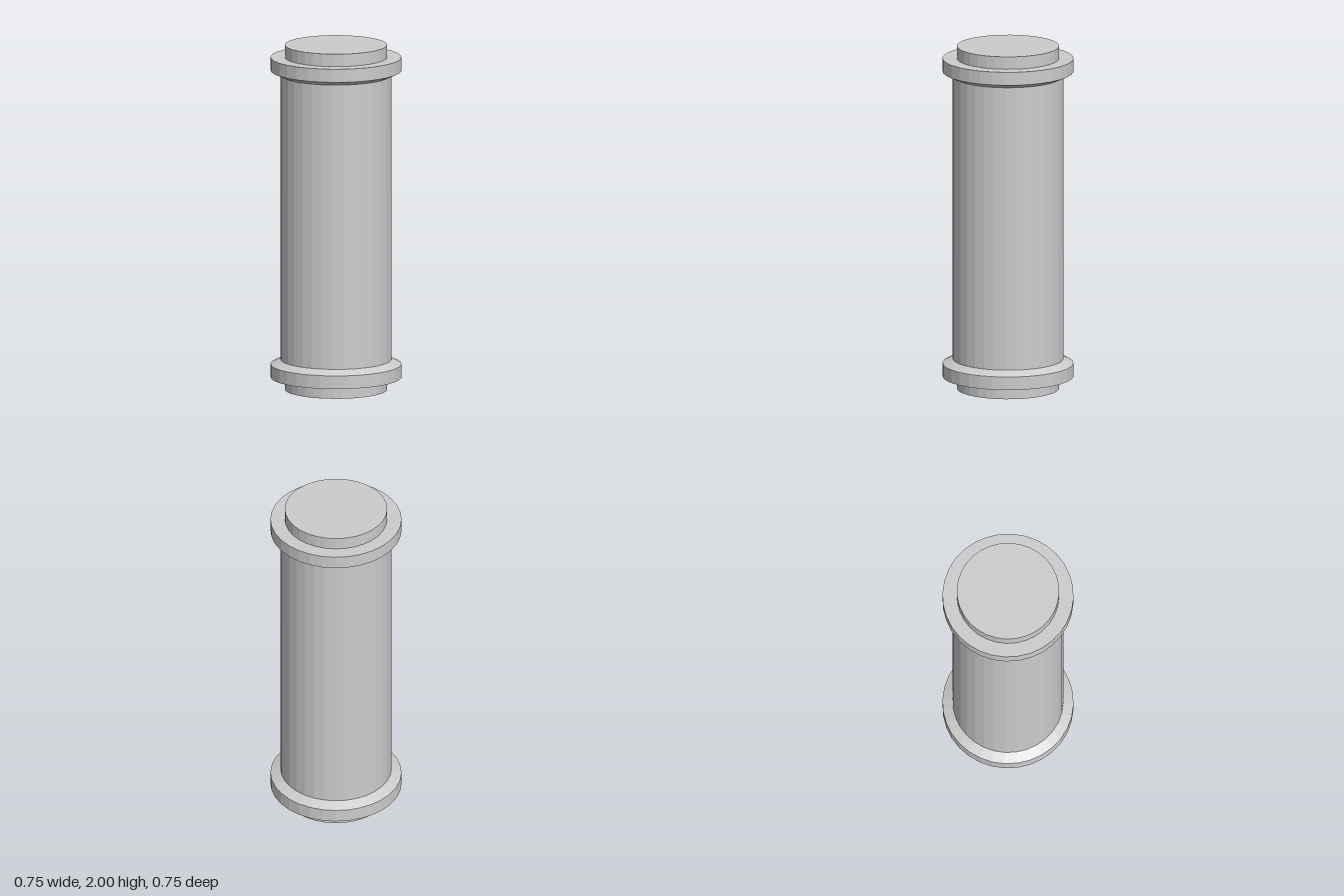
import * as THREE from 'three';

const SIDES = 32;
const BODY_R = 0.316, COLLAR_R = 0.374, CAP_R = 0.292;
const CAP_H = 0.072, RIM_Y = 0.148, BODY_Y = 0.175;

export function createModel() {
  const model = new THREE.Group();
  model.name = 'column';
  const grey = new THREE.MeshStandardMaterial({ color: 0xcccccc, flatShading: true });
  grey.name = 'light grey';

  // Faceted turned part from [radius, height] pairs, listed bottom to top
  const turned = (name, profile) => {
    const points = profile.map(([r, y]) => new THREE.Vector2(r, y));
    const mesh = new THREE.Mesh(new THREE.LatheGeometry(points, SIDES), grey);
    mesh.name = name;
    return mesh;
  };

  // Long straight shaft
  model.add(turned('shaft', [[BODY_R, BODY_Y], [BODY_R, 2 - BODY_Y]]));

  // Matching ends: a closed cap and a collar bevelled towards the shaft
  for (const side of ['bottom', 'top']) {
    const end = new THREE.Group();
    end.name = side + 'End';
    end.add(
      turned(side + 'Cap', [[0, 0], [CAP_R, 0], [CAP_R, CAP_H]]),
      turned(side + 'Collar', [[CAP_R, CAP_H], [COLLAR_R, CAP_H], [COLLAR_R, RIM_Y], [BODY_R, BODY_Y]])
    );
    if (side === 'top') {
      end.rotation.x = Math.PI;
      end.position.y = 2;
    }
    model.add(end);
  }
  return model;
}
